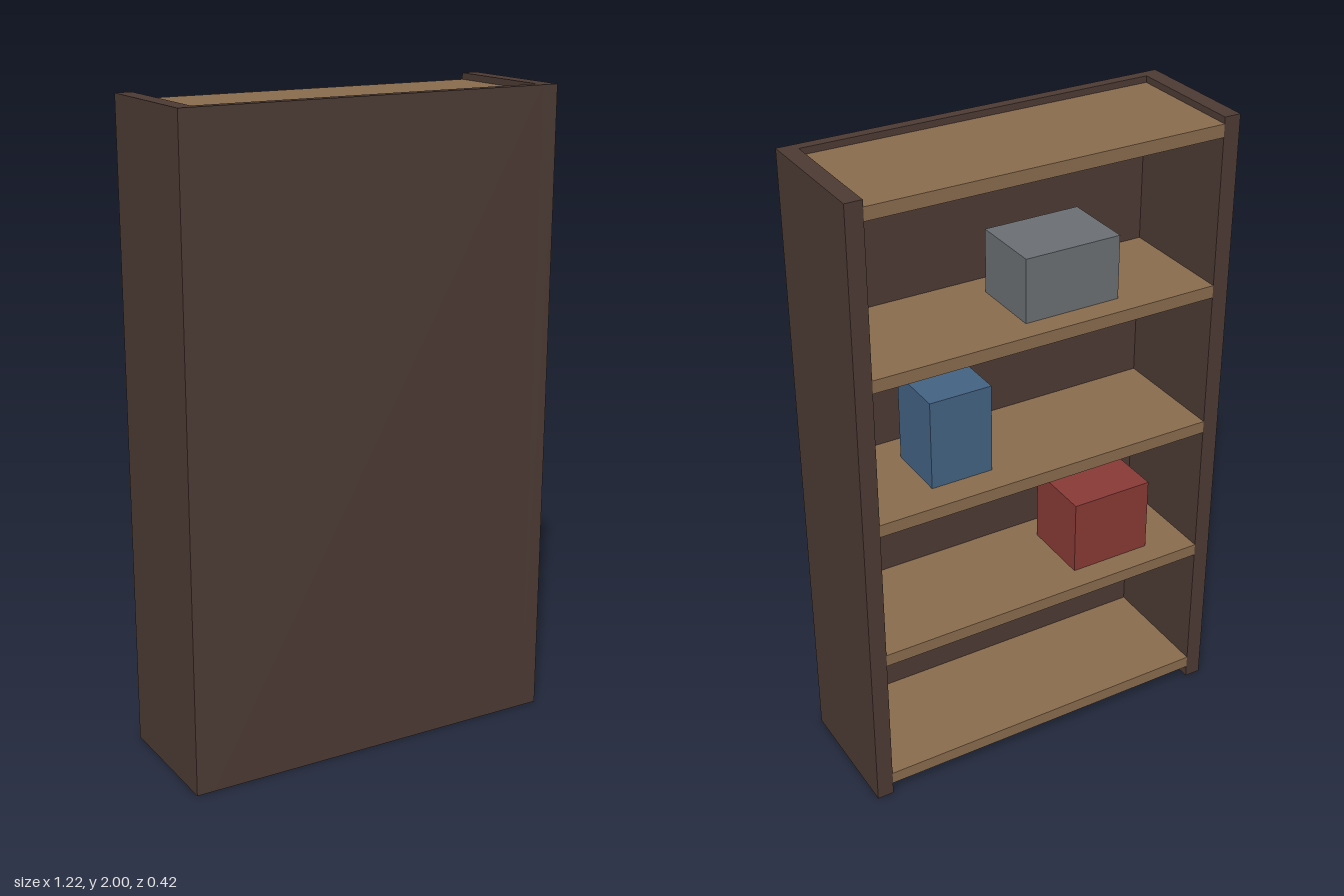
import * as THREE from 'three';

const WIDTH = 1.22, HEIGHT = 2, DEPTH = 0.42;
const SIDE = 0.053, PANEL = 0.033, SHELF = 0.04;

function material(name, color) {
  const m = new THREE.MeshStandardMaterial({ color });
  m.name = name;
  return m;
}

// Box placed by its centre in x and z and by its underside in y
function box(name, [w, h, d], [x, y, z], mat) {
  const mesh = new THREE.Mesh(new THREE.BoxGeometry(w, h, d), mat);
  mesh.name = name;
  mesh.position.set(x, y + h / 2, z);
  return mesh;
}

export function createModel() {
  const darkWood = material('darkWood', 0x4d3b34);
  const lightWood = material('lightWood', 0x8b6d4e);
  const red = material('red', 0x8a3a36);
  const blue = material('blue', 0x446484);
  const grey = material('grey', 0x6b7074);

  const model = new THREE.Group();
  model.name = 'bookcase';

  // Case: two sides and a closed panel on +z; the shelves open towards -z
  const innerWidth = WIDTH - 2 * SIDE;
  for (const [name, s] of [['leftSide', 1], ['rightSide', -1]]) {
    model.add(box(name, [SIDE, HEIGHT, DEPTH], [s * (WIDTH - SIDE) / 2, 0, 0], darkWood));
  }
  model.add(box('panel', [innerWidth, HEIGHT, PANEL], [0, 0, (DEPTH - PANEL) / 2], darkWood));

  // Shelves, listed by the height of their top faces
  const tops = [0.08, 0.547, 1.013, 1.48, 1.98];
  tops.forEach((top, i) => {
    model.add(box(`shelf${i + 1}`, [innerWidth, SHELF, DEPTH - PANEL], [0, top - SHELF, -PANEL / 2], lightWood));
  });

  // Boxes stored on the shelves
  model.add(box('redBox', [0.27, 0.245, 0.23], [-0.28, tops[1], -0.018], red));
  model.add(box('blueBox', [0.2, 0.285, 0.2], [0.242, tops[2], -0.018], blue));
  model.add(box('greyBox', [0.31, 0.2, 0.23], [-0.115, tops[3], -0.022], grey));

  return model;
}
